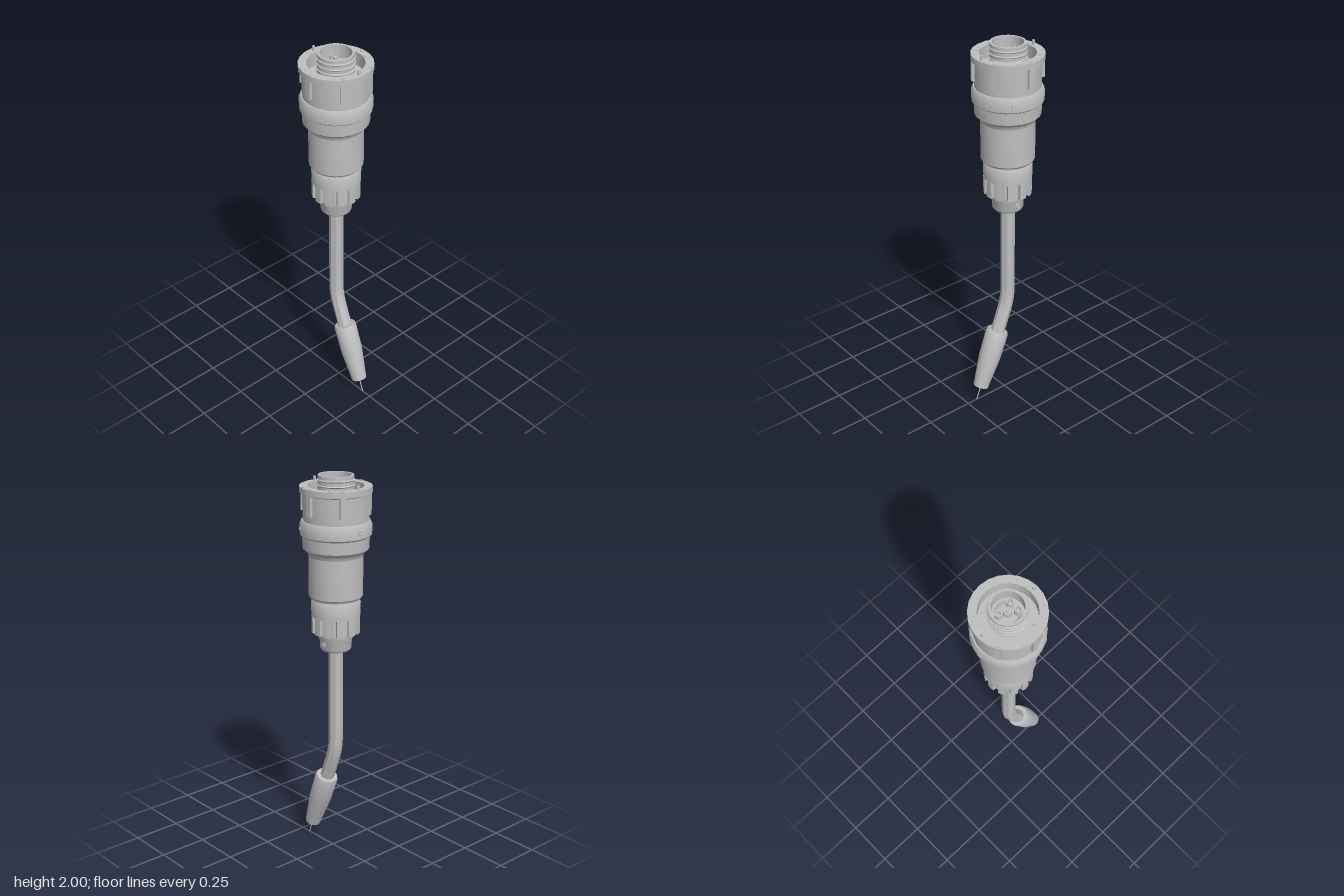
import * as THREE from 'three';
import { toCreasedNormals } from 'three/addons/utils/BufferGeometryUtils.js';

const steel = new THREE.MeshStandardMaterial({ color: 0xbfbfbf, side: THREE.DoubleSide });
steel.name = 'grey steel';

const AXIS_Z = -0.022;
const BEND = THREE.MathUtils.degToRad(20.5);

function add(parent, name, geo, x = 0, y = 0, z = 0, crease = 0.6) {
  const mesh = new THREE.Mesh(toCreasedNormals(geo, crease), steel);
  mesh.name = name;
  mesh.position.set(x, y, z);
  parent.add(mesh);
  return mesh;
}

// Turned part from [radius, height] pairs, bottom to top outside, then back inside
function turned(parent, name, profile, sides = 24) {
  const pts = [...profile, profile[0]].map(([r, y]) => new THREE.Vector2(r, y));
  return add(parent, name, new THREE.LatheGeometry(pts, sides));
}

// Upright plate: a shape drawn in plan, raised from y by height
function plate(parent, name, shape, y, height) {
  const geo = new THREE.ExtrudeGeometry(shape, { depth: height, bevelEnabled: false, curveSegments: 24 });
  return add(parent, name, geo.rotateX(-Math.PI / 2), 0, y, 0);
}

// Runs fn(x, z, angle) for each angle in degrees on a circle (90 is the front)
function around(radius, degrees, fn) {
  for (const d of degrees) {
    const a = THREE.MathUtils.degToRad(d);
    fn(radius * Math.cos(a), radius * Math.sin(a), a);
  }
}

const steps = (n, start = 0) => Array.from({ length: n }, (_, i) => start + (i * 360) / n);

function buildHousing(head) {
  turned(head, 'flange', [[0.164, 1.912], [0.178, 1.918], [0.178, 1.948], [0.137, 1.948], [0.137, 1.912]]);
  turned(head, 'couplingSleeve', [[0.15, 1.77], [0.162, 1.78], [0.164, 1.915], [0.137, 1.93], [0.137, 1.77]]);
  turned(head, 'lockRing', [[0.162, 1.7], [0.176, 1.712], [0.178, 1.762], [0.168, 1.782], [0.13, 1.782], [0.13, 1.7]]);
  turned(head, 'shoulder', [[0.135, 1.605], [0.14, 1.622], [0.163, 1.642], [0.166, 1.705], [0.12, 1.705], [0.12, 1.605]]);
  turned(head, 'barrel', [[0.128, 1.393], [0.135, 1.403], [0.135, 1.61], [0.115, 1.61], [0.115, 1.393]]);
  turned(head, 'barrelGroove', [[0.118, 1.37], [0.118, 1.4], [0.1, 1.4], [0.1, 1.37]]);
  turned(head, 'recessFloor', [[0.085, 1.87], [0.14, 1.87], [0.14, 1.88], [0.085, 1.88]]);

  // Grip ribs and flange fasteners
  around(0.166, steps(6), (x, z, a) => {
    add(head, 'gripRib', new THREE.BoxGeometry(0.02, 0.11, 0.03), x, 1.872, z).rotation.y = -a;
    add(head, 'ribSocket', new THREE.CylinderGeometry(0.01, 0.01, 0.006, 5), x * 0.99, 1.949, z * 0.99);
  });
  around(0.158, [90, 270], (x, z) =>
    add(head, 'locatingPin', new THREE.CylinderGeometry(0.007, 0.008, 0.07, 8), x, 1.935, z));
  around(0.158, steps(6, 19), (x, z, a) =>
    add(head, 'hexInset', new THREE.CylinderGeometry(0.017, 0.017, 0.005, 6), x, 1.948, z).rotation.y = -a);
  around(0.117, [32, 90, 148, 212, 270, 328], (x, z) =>
    add(head, 'recessScrew', new THREE.CylinderGeometry(0.009, 0.009, 0.008, 8), x, 1.883, z));
  around(0.119, [60, 180, 300], (x, z) =>
    add(head, 'recessStud', new THREE.CylinderGeometry(0.006, 0.006, 0.008, 8), x, 1.883, z));

  // Set screws in the lock ring
  around(0.176, [30, 70, 150, 270], (x, z, a) => {
    const screw = add(head, 'setScrew', new THREE.TorusGeometry(0.011, 0.003, 5, 10), x, 1.745, z);
    screw.rotation.y = Math.PI / 2 - a;
  });
}

function buildConnector(head) {
  // Threaded socket
  turned(head, 'socketWall', [[0.088, 1.86], [0.088, 2.0], [0.076, 2.0], [0.076, 1.86]]);
  for (let i = 0; i < 4; i++) {
    const thread = new THREE.TorusGeometry(0.088, 0.005, 4, 24).rotateX(Math.PI / 2);
    add(head, 'thread', thread, 0, 1.9 + i * 0.026, 0);
  }

  // Insert with a curved slot on each side
  const insert = new THREE.Shape().absarc(0, 0, 0.078, 0, Math.PI * 2);
  for (const side of [0, Math.PI]) {
    const slot = new THREE.Path();
    slot.absarc(0, 0, 0.063, side - 0.75, side + 0.75, false);
    slot.absarc(0, 0, 0.046, side + 0.75, side - 0.75, true);
    slot.closePath();
    insert.holes.push(slot);
  }
  plate(head, 'insert', insert, 1.9, 0.03);

  // Contacts
  for (const [x, z] of [[0.018, -0.04], [-0.025, 0.036], [0.024, 0.036]]) {
    const contact = turned(head, 'contact', [[0.018, 1.92], [0.018, 1.965], [0.011, 1.965], [0.011, 1.92]], 10);
    contact.position.set(x, 0, z);
    add(head, 'contactCore', new THREE.CylinderGeometry(0.007, 0.007, 0.03, 6), x, 1.94, z);
  }
  add(head, 'centreContact', new THREE.CylinderGeometry(0.02, 0.02, 0.035, 8), 0, 1.945, -0.003);
  add(head, 'centrePin', new THREE.CylinderGeometry(0.011, 0.011, 0.05, 5), 0, 1.948, -0.003);
}

function buildClampNut(head) {
  turned(head, 'clampNut', [[0.122, 1.298], [0.124, 1.37], [0.118, 1.382], [0.09, 1.382], [0.09, 1.298]]);

  // Skirt with finger notches
  const skirt = new THREE.Shape();
  const teeth = 12, pitch = (Math.PI * 2) / teeth;
  for (let i = 0; i < teeth; i++) {
    [[0.122, -0.3], [0.123, 0], [0.122, 0.3], [0.106, 0.36], [0.106, 0.64]].forEach(([r, t], k) => {
      const a = (i + t) * pitch;
      skirt[i + k === 0 ? 'moveTo' : 'lineTo'](r * Math.cos(a), r * Math.sin(a));
    });
  }
  skirt.closePath();
  skirt.holes.push(new THREE.Path().absarc(0, 0, 0.08, 0, Math.PI * 2, true));
  plate(head, 'clampNutSkirt', skirt, 1.212, 0.09);

  // Collar that holds the neck
  turned(head, 'collar', [[0.072, 1.118], [0.079, 1.128], [0.081, 1.17], [0.088, 1.185], [0.088, 1.22], [0.066, 1.22], [0.062, 1.118]]);
  const ring = new THREE.TorusGeometry(0.012, 0.004, 5, 10).rotateY(Math.PI / 2);
  add(head, 'collarScrew', ring, 0.08, 1.156, 0);
  const core = new THREE.CylinderGeometry(0.006, 0.006, 0.008, 6).rotateZ(Math.PI / 2);
  add(head, 'collarScrewCore', core, 0.08, 1.156, 0);
}

function buildNeck(torch) {
  const v = (y, z) => new THREE.Vector3(0, y, z);
  const top = v(1.9, AXIS_Z), bendStart = v(0.63, AXIS_Z), corner = v(0.57, AXIS_Z);
  const bendEnd = v(0.51, AXIS_Z + 0.0224), end = v(0.37, 0.053);
  const path = new THREE.CurvePath();
  path.add(new THREE.LineCurve3(top, bendStart));
  path.add(new THREE.QuadraticBezierCurve3(bendStart, corner, bendEnd));
  path.add(new THREE.LineCurve3(bendEnd, end));
  add(torch, 'neck', new THREE.TubeGeometry(path, 40, 0.037, 8, false));
}

function buildNozzle(torch) {
  const nozzle = new THREE.Group();
  nozzle.name = 'nozzle';
  nozzle.position.set(0, 0.393, 0.046);
  nozzle.rotation.x = -BEND;
  torch.add(nozzle);
  turned(nozzle, 'gasCup', [[0.041, -0.334], [0.044, -0.3], [0.058, -0.16], [0.06, -0.012], [0.055, 0],
    [0.034, 0], [0.034, -0.03], [0.05, -0.03], [0.05, -0.16], [0.034, -0.334]], 16);
  add(nozzle, 'contactTip', new THREE.CylinderGeometry(0.022, 0.013, 0.29, 8), 0, -0.17, 0);
  add(nozzle, 'wire', new THREE.CylinderGeometry(0.003, 0.003, 0.12, 6), 0, -0.358, 0);
}

export function createModel() {
  const torch = new THREE.Group();
  torch.name = 'weldingTorch';
  const head = new THREE.Group();
  head.name = 'head';
  head.position.z = AXIS_Z;
  torch.add(head);
  buildHousing(head);
  buildConnector(head);
  buildClampNut(head);
  buildNeck(torch);
  buildNozzle(torch);
  return torch;
}
